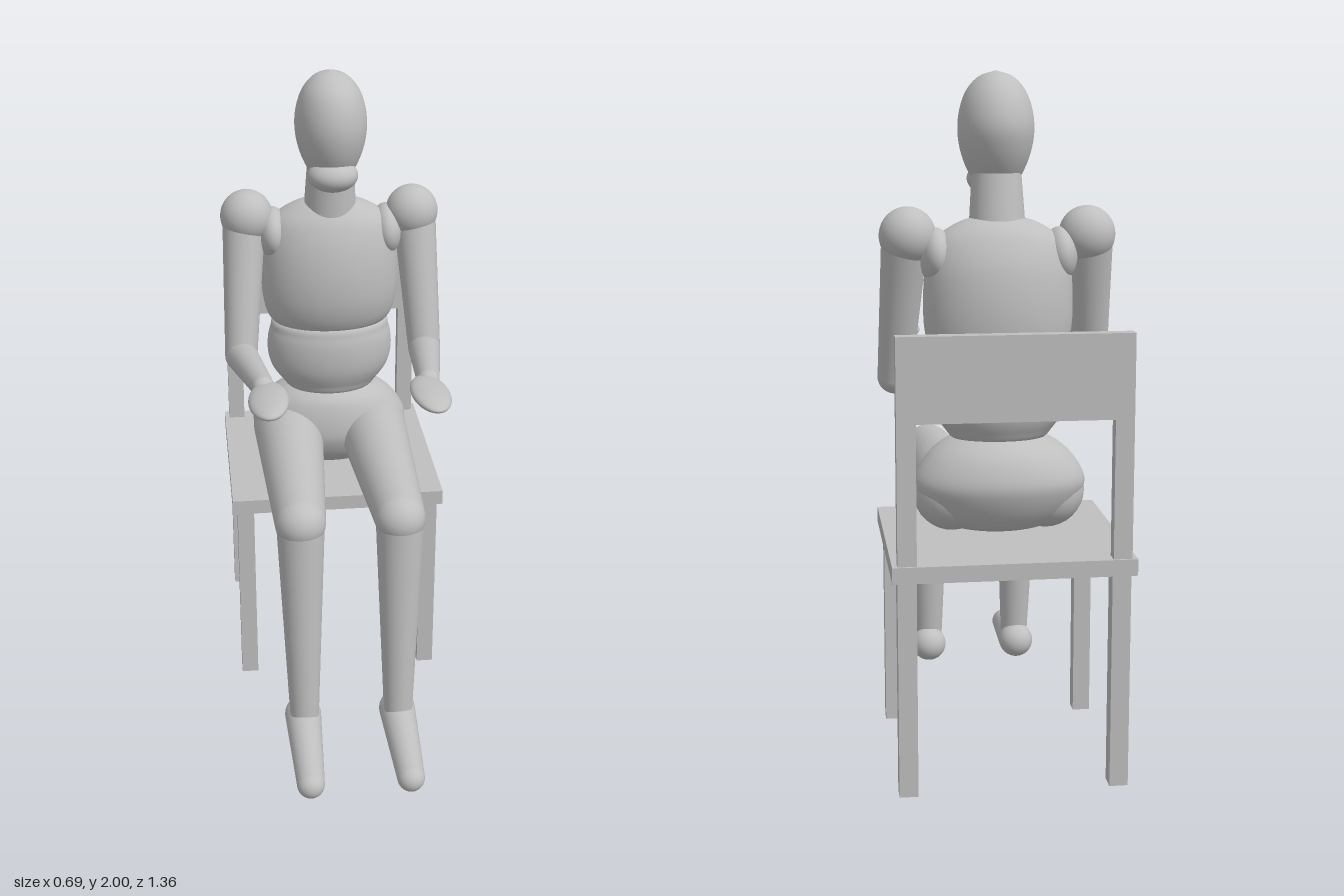
import * as THREE from 'three';

const figureGrey = new THREE.MeshStandardMaterial({ color: 0xbfbfbf });
figureGrey.name = 'figureGrey';

const V = (x, y, z) => new THREE.Vector3(x, y, z);

function add(parent, name, geometry) {
  const mesh = new THREE.Mesh(geometry, figureGrey);
  mesh.name = name;
  parent.add(mesh);
  return mesh;
}

// Smooth closed body from elliptical sections: [y, half width, back z, front z]
function loft(rows, segments = 48, steps = 48) {
  const widths = new THREE.CatmullRomCurve3(rows.map(r => V(r[1], r[0], 0)), false, 'catmullrom');
  const depths = new THREE.CatmullRomCurve3(rows.map(r => V(r[2], r[0], r[3])), false, 'catmullrom');
  const pos = [], index = [];
  for (let j = 0; j <= steps; j++) {
    const w = widths.getPoint(j / steps), d = depths.getPoint(j / steps);
    const zc = (d.x + d.z) / 2, rz = Math.max((d.z - d.x) / 2, 0.0005);
    const rx = Math.max(w.x, 0.0005);
    for (let i = 0; i < segments; i++) {
      const a = (i / segments) * Math.PI * 2;
      pos.push(rx * Math.cos(a), w.y, zc + rz * Math.sin(a));
      if (j === steps) continue;
      const p = j * segments + i, n = j * segments + (i + 1) % segments;
      index.push(p, p + segments, n, n, p + segments, n + segments);
    }
  }
  const g = new THREE.BufferGeometry();
  g.setAttribute('position', new THREE.Float32BufferAttribute(pos, 3));
  g.setIndex(index);
  g.computeVertexNormals();
  return g;
}

// Tapered limb with round ends, running from point a to point b
function limb(parent, name, a, ra, b, rb) {
  const dir = b.clone().sub(a), length = dir.length(), points = [];
  const tilt = Math.asin((ra - rb) / length);
  for (let i = 0; i <= 12; i++) {
    const t = -Math.PI / 2 + (i / 12) * (Math.PI / 2 + tilt);
    points.push(new THREE.Vector2(Math.max(0, ra * Math.cos(t)), ra * Math.sin(t)));
  }
  for (let i = 0; i <= 12; i++) {
    const t = tilt + (i / 12) * (Math.PI / 2 - tilt);
    points.push(new THREE.Vector2(Math.max(0, rb * Math.cos(t)), length + rb * Math.sin(t)));
  }
  const mesh = add(parent, name, new THREE.LatheGeometry(points, 32));
  mesh.position.copy(a);
  mesh.quaternion.setFromUnitVectors(V(0, 1, 0), dir.normalize());
  return mesh;
}

function ellipsoid(parent, name, center, rx, ry, rz) {
  const mesh = add(parent, name, new THREE.SphereGeometry(1, 40, 28));
  mesh.position.copy(center);
  mesh.scale.set(rx, ry, rz);
  return mesh;
}

// Box given by its lower and upper limits
function box(parent, name, x0, x1, y0, y1, z0, z1) {
  const mesh = add(parent, name, new THREE.BoxGeometry(x1 - x0, y1 - y0, z1 - z0));
  mesh.position.set((x0 + x1) / 2, (y0 + y1) / 2, (z0 + z1) / 2);
}

function buildChair() {
  const chair = new THREE.Group();
  chair.name = 'chair';
  box(chair, 'seat', -0.34, 0.34, 0.625, 0.672, -0.68, -0.02);
  box(chair, 'backPanel', -0.325, 0.325, 1.065, 1.302, -0.673, -0.632);
  for (const s of [-1, 1]) {
    const x0 = s > 0 ? 0.272 : -0.325, x1 = x0 + 0.053;
    box(chair, 'frontLeg', x0, x1, 0, 0.625, -0.09, -0.04);
    box(chair, 'backLeg', x0, x1, 0, 0.625, -0.663, -0.61);
    box(chair, 'backPost', x0, x1, 0.672, 1.065, -0.673, -0.632);
  }
  return chair;
}

function buildFigure() {
  const figure = new THREE.Group();
  figure.name = 'seatedFigure';

  // Head, jaw and neck
  add(figure, 'head', loft([
    [1.645, 0, -0.24, -0.24], [1.66, 0.045, -0.285, -0.19], [1.72, 0.082, -0.337, -0.145],
    [1.78, 0.103, -0.37, -0.118], [1.84, 0.11, -0.385, -0.108], [1.9, 0.102, -0.373, -0.117],
    [1.95, 0.081, -0.343, -0.143], [1.985, 0.046, -0.3, -0.19], [2, 0, -0.245, -0.245]]));
  ellipsoid(figure, 'jaw', V(0, 1.693, -0.183), 0.077, 0.05, 0.07);
  limb(figure, 'neck', V(0, 1.72, -0.258), 0.071, V(0, 1.54, -0.278), 0.083);

  // Torso
  add(figure, 'chest', loft([
    [1.165, 0, -0.3, -0.3], [1.172, 0.15, -0.41, -0.2], [1.2, 0.195, -0.438, -0.168],
    [1.27, 0.214, -0.453, -0.145], [1.36, 0.217, -0.455, -0.14], [1.45, 0.21, -0.442, -0.152],
    [1.52, 0.187, -0.413, -0.175], [1.56, 0.14, -0.383, -0.2], [1.585, 0.08, -0.34, -0.23],
    [1.59, 0, -0.285, -0.285]]));
  add(figure, 'belly', loft([
    [0.93, 0, -0.31, -0.31], [0.945, 0.12, -0.4, -0.215], [0.98, 0.16, -0.43, -0.19],
    [1.03, 0.192, -0.45, -0.17], [1.09, 0.202, -0.455, -0.163], [1.15, 0.193, -0.443, -0.168],
    [1.19, 0.165, -0.42, -0.19], [1.205, 0, -0.3, -0.3]]));
  add(figure, 'pelvis', loft([
    [0.675, 0, -0.33, -0.33], [0.69, 0.13, -0.41, -0.24], [0.73, 0.205, -0.452, -0.19],
    [0.79, 0.246, -0.485, -0.16], [0.84, 0.25, -0.495, -0.155], [0.9, 0.213, -0.475, -0.165],
    [0.94, 0.165, -0.44, -0.185], [0.965, 0.1, -0.39, -0.23], [0.972, 0, -0.31, -0.31]]));

  for (const s of [1, -1]) {
    const P = (x, y, z) => V(s * x, y, z);
    // Arm
    const arm = new THREE.Group();
    arm.name = s > 0 ? 'leftArm' : 'rightArm';
    const elbow = P(0.293, 1.112, -0.18), wrist = P(0.245, 1.175, 0.2);
    ellipsoid(arm, 'shoulderJoint', P(0.18, 1.48, -0.295), 0.05, 0.08, 0.09);
    ellipsoid(arm, 'shoulder', P(0.26, 1.537, -0.292), 0.082, 0.083, 0.082);
    limb(arm, 'upperArm', P(0.27, 1.5, -0.285), 0.066, elbow, 0.051);
    limb(arm, 'forearm', elbow, 0.051, wrist, 0.034);
    const hand = ellipsoid(arm, 'hand', P(0.236, 1.18, 0.305), 0.059, 0.024, 0.122);
    hand.rotation.z = -s * 0.12;
    figure.add(arm);

    // Leg
    const leg = new THREE.Group();
    leg.name = s > 0 ? 'leftLeg' : 'rightLeg';
    const knee = P(0.15, 0.782, 0.322), heel = P(0.15, 0.092, 0.337);
    limb(leg, 'thigh', P(0.138, 0.793, -0.32), 0.115, knee, 0.077);
    limb(leg, 'shin', knee, 0.073, P(0.148, 0.12, 0.372), 0.045);
    limb(leg, 'foot', heel, 0.057, P(0.152, 0.057, 0.638), 0.042);
    figure.add(leg);
  }
  return figure;
}

export function createModel() {
  const model = new THREE.Group();
  model.name = 'seatedFigureOnChair';
  model.add(buildChair(), buildFigure());
  return model;
}
